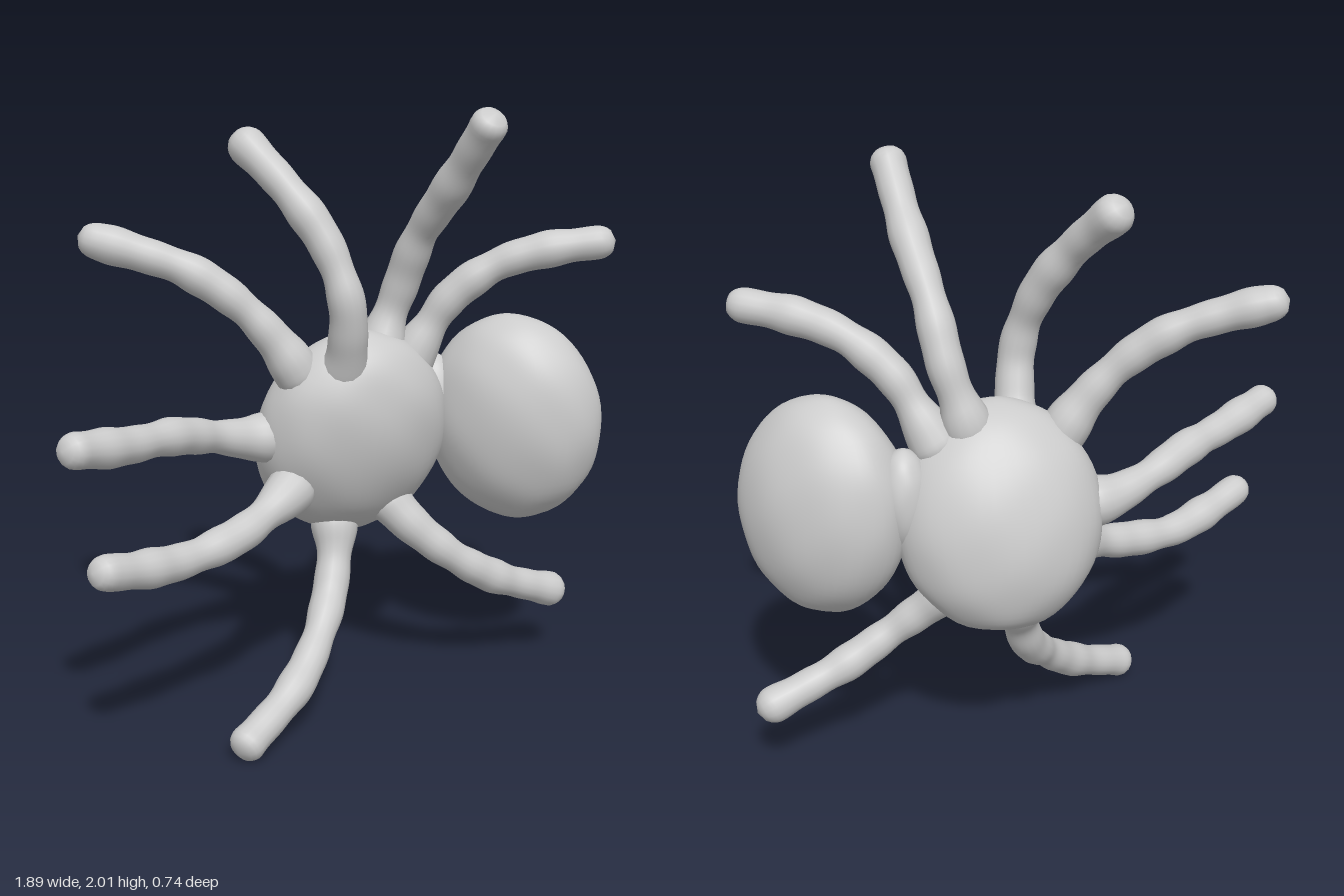
import * as THREE from 'three';
import { mergeVertices } from 'three/addons/utils/BufferGeometryUtils.js';

const material = new THREE.MeshStandardMaterial({ color: 0xcccccc });

// Weld the seams and recompute smooth normals
function smooth(geometry) {
  geometry.deleteAttribute('uv');
  geometry.deleteAttribute('normal');
  const welded = mergeVertices(geometry, 1e-5);
  welded.computeVertexNormals();
  return welded;
}

// Slightly uneven, hand-modelled ellipsoid
function ellipsoid(name, centre, radii, rotation) {
  const geo = new THREE.SphereGeometry(1, 48, 32);
  const pos = geo.attributes.position;
  const v = new THREE.Vector3();
  for (let i = 0; i < pos.count; i++) {
    v.fromBufferAttribute(pos, i);
    const dent = Math.sin(7 * v.x + 2 * v.y) * Math.sin(6 * v.y + 1) * Math.sin(7 * v.z + 2);
    v.multiplyScalar(1 + 0.012 * dent);
    pos.setXYZ(i, v.x * radii[0], v.y * radii[1], v.z * radii[2]);
  }
  const mesh = new THREE.Mesh(smooth(geo), material);
  mesh.name = name;
  mesh.position.set(...centre);
  mesh.rotation.set(...rotation, 'ZYX');
  return mesh;
}

// Rounded end: radius factor at a distance from the end of the tube
const cap = (distance, size) => Math.sqrt(Math.max(0, 1 - Math.max(0, 1 - distance / size) ** 2));

// Knobbly leg: a tube flared where it leaves the body, rounded at both ends
function leg(name, points, phase) {
  const curve = new THREE.CatmullRomCurve3(points.map((p) => new THREE.Vector3(...p)));
  const rings = 72, sides = 16, radius = 0.058;
  const geo = new THREE.TubeGeometry(curve, rings, radius, sides);
  const pos = geo.attributes.position;
  const length = curve.getLength();
  const v = new THREE.Vector3();
  for (let i = 0; i <= rings; i++) {
    const t = i / rings;
    const centre = curve.getPointAt(t);
    const fromRoot = t * length;
    let scale = 1 + 0.06 * Math.sin(t * 19 + phase) + 0.03 * Math.sin(t * 43 + phase * 2);
    scale += 0.4 * Math.exp(-(((fromRoot - 0.07) / 0.1) ** 2));
    scale *= cap(fromRoot, 0.08) * cap(length - fromRoot, radius);
    for (let j = 0; j <= sides; j++) {
      const k = i * (sides + 1) + j;
      v.fromBufferAttribute(pos, k).sub(centre).multiplyScalar(scale).add(centre);
      pos.setXYZ(k, v.x, v.y, v.z);
    }
  }
  const mesh = new THREE.Mesh(smooth(geo), material);
  mesh.name = name;
  return mesh;
}

export function createModel() {
  const group = new THREE.Group();
  group.name = 'spider';

  // Body, abdomen and the narrow waist between them
  group.add(ellipsoid('body', [0.13, 0.91, -0.13], [0.335, 0.375, 0.215], [0.3, -0.04, 0]));
  group.add(ellipsoid('abdomen', [0.673, 0.94, 0.01], [0.303, 0.362, 0.2], [0, -0.73, 0.1]));
  group.add(ellipsoid('waist', [0.43, 0.99, -0.12], [0.09, 0.17, 0.1], [0, -0.2, 0]));

  // Leg paths run from root to tip
  const legs = {
    upperLeftLeg: [[0.29, 1.09, -0.1], [0.37, 1.25, -0.06], [0.44, 1.37, -0.02], [0.57, 1.48, 0.05],
      [0.7, 1.53, 0.12], [0.915, 1.565, 0.22]],
    topLeftLeg: [[0.2, 1.13, -0.09], [0.24, 1.27, -0.1], [0.28, 1.4, -0.08], [0.31, 1.58, 0.0],
      [0.35, 1.77, 0.16], [0.385, 1.99, 0.35]],
    topRightLeg: [[0.05, 1.1, -0.04], [0.04, 1.24, 0.04], [0.02, 1.4, 0.08], [-0.03, 1.58, 0.03],
      [-0.12, 1.74, -0.06], [-0.235, 1.91, -0.23]],
    upperRightLeg: [[-0.05, 1.08, -0.07], [-0.14, 1.23, -0.08], [-0.27, 1.38, -0.11], [-0.42, 1.49, -0.16],
      [-0.57, 1.55, -0.21], [-0.745, 1.605, -0.28]],
    middleRightLeg: [[-0.1, 0.92, -0.14], [-0.24, 0.93, -0.12], [-0.4, 0.97, -0.06], [-0.55, 1.01, 0.03],
      [-0.72, 1.03, 0.14], [-0.945, 1.075, 0.28]],
    lowerRightLeg: [[-0.06, 0.78, -0.1], [-0.2, 0.72, -0.01], [-0.35, 0.67, 0.07], [-0.55, 0.645, 0.15],
      [-0.72, 0.67, 0.24], [-0.885, 0.715, 0.33]],
    bottomRightLeg: [[0.08, 0.66, -0.17], [0.06, 0.52, -0.11], [0.02, 0.39, -0.05], [-0.07, 0.27, 0.06],
      [-0.2, 0.155, 0.17], [-0.445, 0.035, 0.31]],
    bottomLeftLeg: [[0.22, 0.71, -0.12], [0.31, 0.59, -0.04], [0.46, 0.46, 0.01], [0.62, 0.36, 0.0],
      [0.76, 0.3, -0.02], [0.935, 0.235, -0.05]],
  };
  Object.entries(legs).forEach(([name, points], i) => group.add(leg(name, points, i * 1.3)));

  return group;
}
